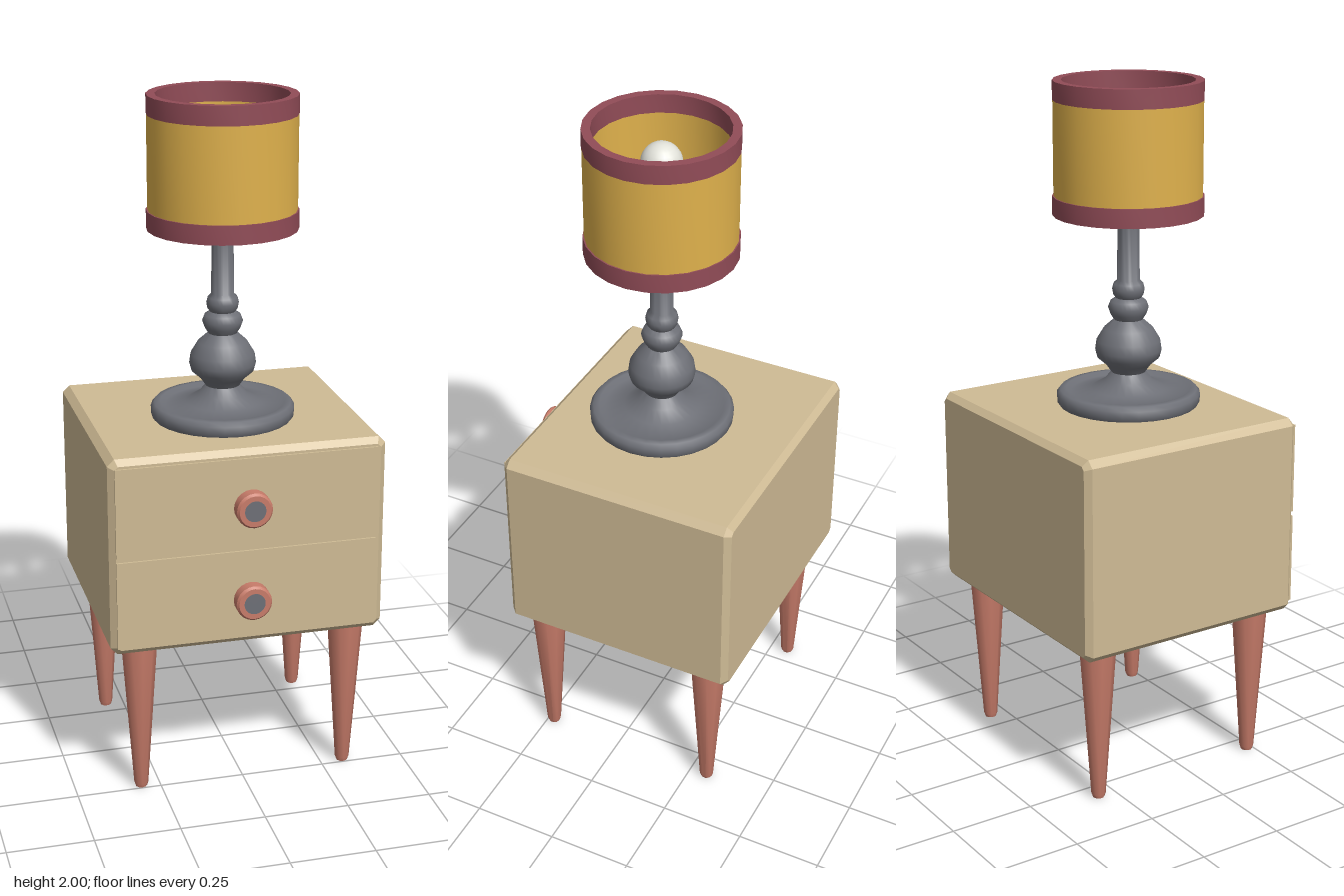
import * as THREE from 'three';
import { toCreasedNormals } from 'three/addons/utils/BufferGeometryUtils.js';

const material = (name, color) => {
  const m = new THREE.MeshStandardMaterial({ color });
  m.name = name;
  return m;
};

// Turned part from [radius, height] pairs, listed bottom to top on the outside
const turned = (points, sides, crease = 0.7) =>
  toCreasedNormals(new THREE.LatheGeometry(points.map(([r, y]) => new THREE.Vector2(r, y)), sides), crease);

// Hollow ring with square edges
const ring = (inner, outer, y0, y1, sides) =>
  turned([[inner, y0], [outer, y0], [outer, y1], [inner, y1], [inner, y0]], sides);

// Box with chamfered edges, centred on the origin
function chamferedBox(w, h, d, c) {
  const x = w / 2 - c, y = h / 2 - c, k = c * 0.6;
  const shape = new THREE.Shape();
  shape.moveTo(-x + k, -y);
  shape.lineTo(x - k, -y);
  shape.lineTo(x, -y + k);
  shape.lineTo(x, y - k);
  shape.lineTo(x - k, y);
  shape.lineTo(-x + k, y);
  shape.lineTo(-x, y - k);
  shape.lineTo(-x, -y + k);
  shape.closePath();
  const geo = new THREE.ExtrudeGeometry(shape, {
    depth: d - 2 * c, bevelEnabled: true, bevelThickness: c, bevelSize: c, bevelSegments: 1,
  });
  return geo.translate(0, 0, -(d - 2 * c) / 2);
}

export function createModel() {
  const wood = material('pale wood', 0xcfbb95);
  const terracotta = material('terracotta', 0xc87c6a);
  const metal = material('grey metal', 0x6e7077);
  const gold = material('gold fabric', 0xdfb14c);
  const maroon = material('maroon trim', 0x914c57);
  const glass = material('bulb white', 0xe2e2da);

  const model = new THREE.Group();
  model.name = 'nightstandWithLamp';
  const add = (parent, name, geo, mat, x = 0, y = 0, z = 0) => {
    const mesh = new THREE.Mesh(geo, mat);
    mesh.name = name;
    mesh.position.set(x, y, z);
    parent.add(mesh);
    return mesh;
  };

  // Cabinet
  add(model, 'cabinet', chamferedBox(0.806, 0.59, 0.713, 0.017), wood, 0, 0.765, -0.041);

  // Drawer fronts with round knobs
  const knobGeo = turned([[0.03, 0], [0.03, 0.03], [0.046, 0.03], [0.052, 0.036],
    [0.052, 0.068], [0.046, 0.075], [0.03, 0.075]], 20).rotateX(Math.PI / 2);
  const capGeo = new THREE.CircleGeometry(0.031, 20);
  [[0.905, 0.904], [0.625, 0.626]].forEach(([knobY, frontY], i) => {
    const drawer = new THREE.Group();
    drawer.name = i === 0 ? 'upperDrawer' : 'lowerDrawer';
    model.add(drawer);
    add(drawer, 'drawerFront', new THREE.BoxGeometry(0.762, 0.264, 0.02), wood, -0.005, frontY, 0.312);
    add(drawer, 'knob', knobGeo, terracotta, -0.005, knobY, 0.32);
    add(drawer, 'knobCap', capGeo, metal, -0.005, knobY, 0.3951);
  });

  // Tapered legs
  const legGeo = turned([[0, 0], [0.017, 0], [0.021, 0.012], [0.053, 0.475]], 10, 0.8);
  for (const x of [-0.306, 0.318])
    for (const z of [0.231, -0.304]) add(model, 'leg', legGeo, terracotta, x, 0, z);

  // Lamp
  const lamp = new THREE.Group();
  lamp.name = 'lamp';
  lamp.position.set(0.002, 0, 0.006);
  model.add(lamp);

  const stand = [
    [0, 1.055], [0.2, 1.055], [0.209, 1.068], [0.21, 1.092], [0.2, 1.104], [0.182, 1.106],
    [0.168, 1.096], [0.11, 1.106], [0.07, 1.13], [0.05, 1.155], [0.066, 1.178], [0.091, 1.2],
    [0.097, 1.222], [0.093, 1.25], [0.072, 1.285], [0.042, 1.312], [0.052, 1.328], [0.059, 1.348],
    [0.052, 1.366], [0.037, 1.376], [0.044, 1.386], [0.047, 1.402], [0.043, 1.418], [0.033, 1.428],
    [0.031, 1.62], [0.028, 1.86],
  ];
  add(lamp, 'stand', turned(stand, 28, 0.9), metal);

  // Bulb
  add(lamp, 'bulb', new THREE.SphereGeometry(0.058, 20, 14), glass, 0, 1.895, 0);

  // Shade with a trim band at each end
  add(lamp, 'shade', ring(0.2, 0.213, 1.66, 1.96, 24), gold);
  add(lamp, 'lowerTrim', ring(0.191, 0.217, 1.62, 1.675, 24), maroon);
  add(lamp, 'upperTrim', ring(0.189, 0.214, 1.945, 2, 24), maroon);

  return model;
}
